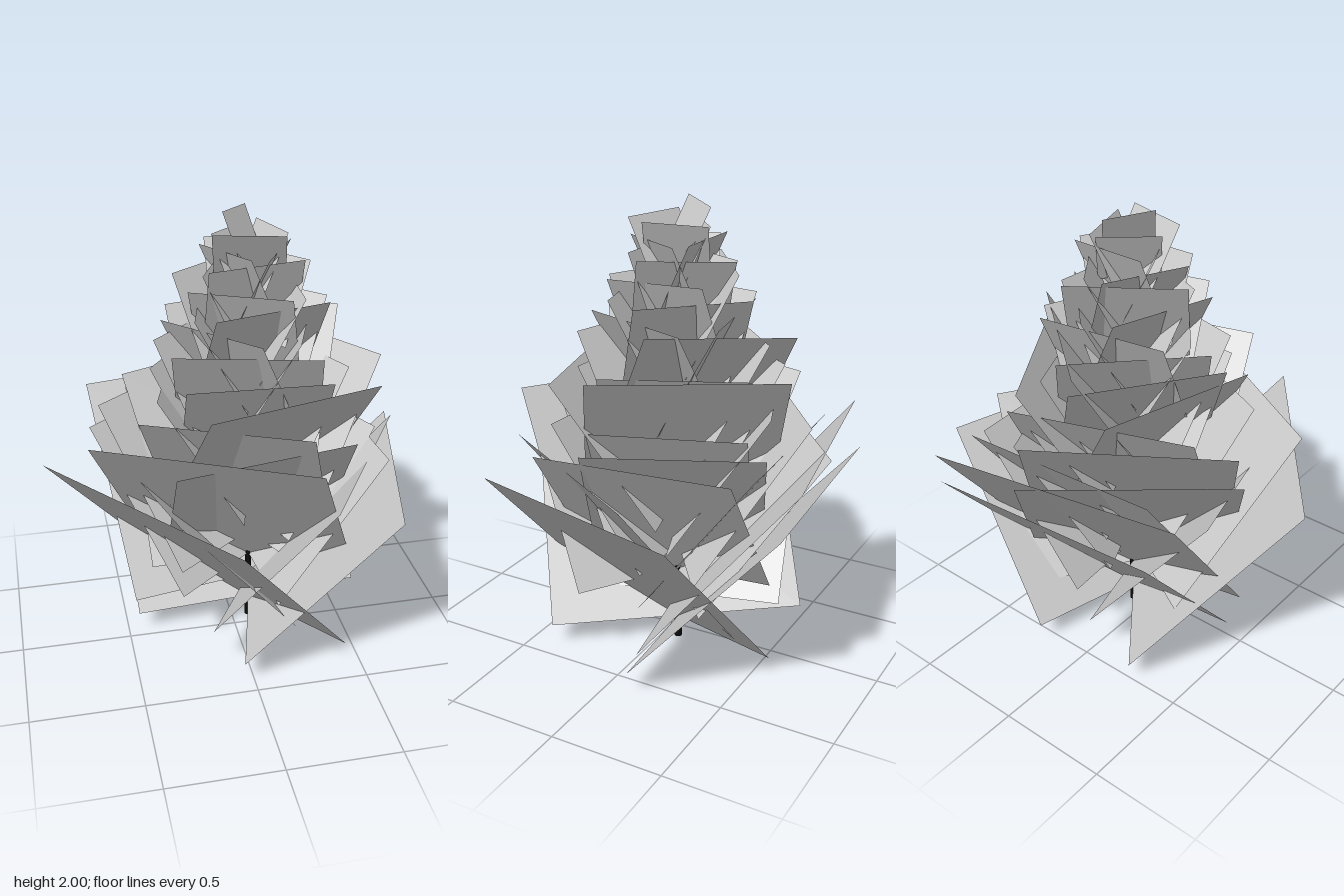
import * as THREE from 'three';

export function createModel() {
  const tree = new THREE.Group();
  tree.name = 'coniferTree';
  const bark = new THREE.MeshStandardMaterial({ color: 0x0a0a0a });
  const foliage = new THREE.MeshStandardMaterial({ color: 0xcccccc, side: THREE.DoubleSide });
  const axisX = 0.08, axisZ = -0.07;

  // Slim tapering trunk, mostly hidden by the foliage
  const trunk = new THREE.Mesh(new THREE.CylinderGeometry(0.004, 0.017, 1.8, 12), bark);
  trunk.name = 'trunk';
  trunk.position.set(axisX, 0.9, axisZ);
  tree.add(trunk);

  // Whorls from bottom to tip:
  // [heading in degrees from +x towards +z, card width, roll, extra lean]
  const whorls = [
    [[13.8, 1.05, 0], [142.3, 1.15, 0], [265.7, 1.063, 0]],
    [[31, 0.955, 0, -2], [165, 0.916, 0], [259.5, 1.116, 0]],
    [[-6, 0.867, 1, -1], [117.8, 1.007, 2.4, -1.5], [231, 0.918, 0, 1.5], [266.5, 0.918, 0]],
    [[83, 0.78, 5], [-25, 0.75, 0], [235, 0.88, -2]],
    [[-20, 0.66, 0], [115, 0.75, 1], [250, 0.8, -1]],
    [[75, 0.79, 0, 4], [195, 0.72, 1], [328, 0.81, -1]],
    [[-25, 0.62, 0], [93, 0.62, 0], [215, 0.66, 1]],
    [[-48, 0.67, -7], [104, 0.62, 0], [225, 0.62, 1]],
    [[20, 0.55, 0], [140, 0.55, 2], [260, 0.57, -1]],
    [[76, 0.52, 0], [195, 0.5, -2], [315, 0.5, 0]],
    [[0, 0.44, 2], [115, 0.44, 0], [235, 0.5, 0]],
    [[84, 0.41, 2, -5], [205, 0.38, 0], [325, 0.4, -2]],
    [[30, 0.33, 0], [150, 0.33, 2], [270, 0.34, 0]],
    [[104, 0.3, 0, 5], [-15, 0.27, -2], [230, 0.26, 0]],
    [[215, 0.215, 6]],
  ];

  // One flat branch card, hinged on the trunk and leaning outward
  const addBranch = (name, y, heading, width, tilt, roll) => {
    const height = width / 1.065;
    const card = new THREE.Mesh(
      new THREE.PlaneGeometry(width, height).translate(0, height / 2, 0), foliage);
    card.name = name;
    card.position.set(axisX, y, axisZ);
    card.rotation.set(...[tilt, 90 - heading, roll].map(THREE.MathUtils.degToRad), 'YXZ');
    tree.add(card);
  };

  // Whorls steepen towards the tip
  whorls.forEach((cards, i) => {
    const tilt = 41.4 - 2.2 * i + 0.07 * i * i;
    cards.forEach(([heading, width, roll, lean = 0], k) =>
      addBranch(`branchCard${i + 1}_${k + 1}`, 0.1 + 0.122 * i, heading, width, tilt + lean, roll));
  });
  return tree;
}
